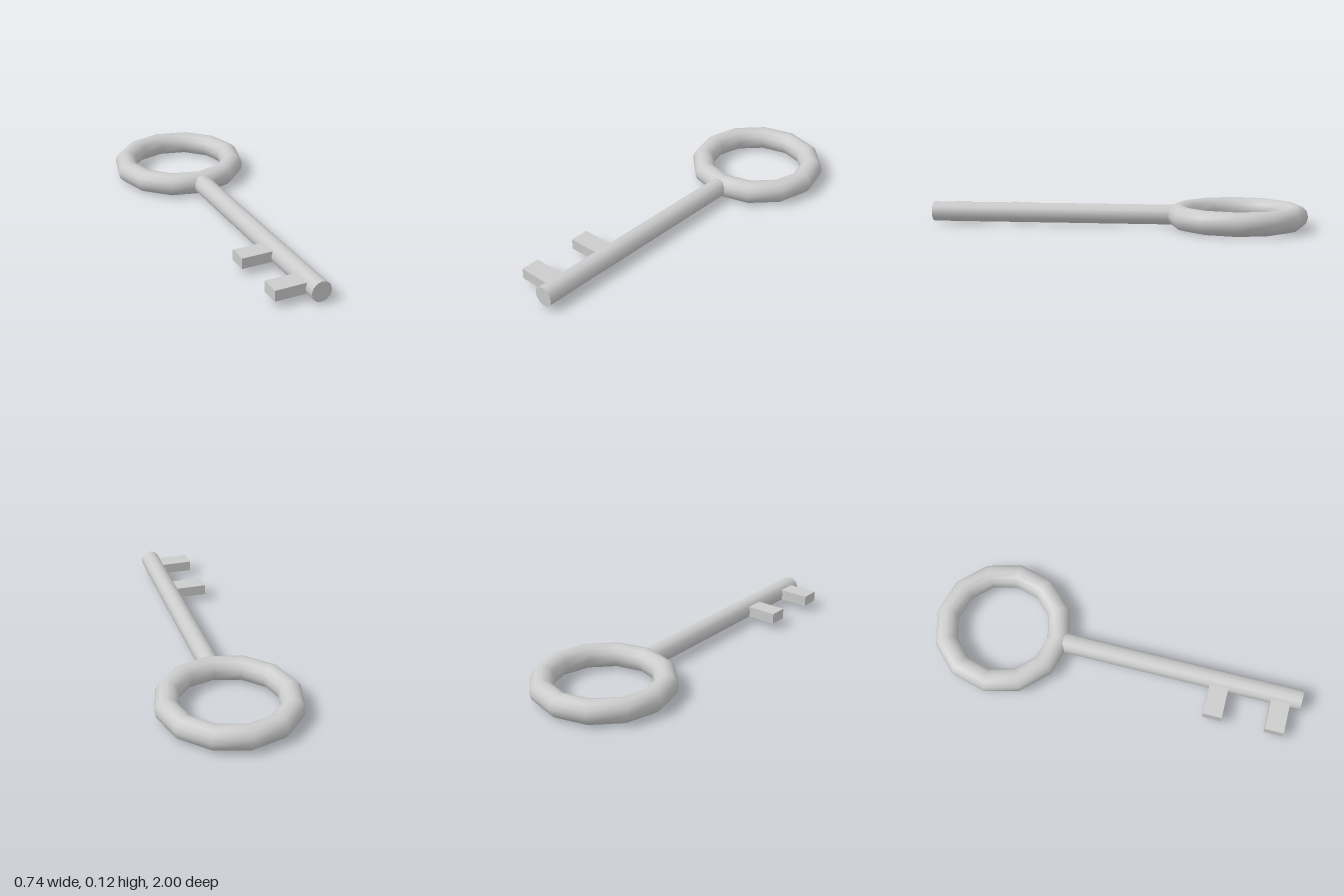
import * as THREE from 'three';

const material = new THREE.MeshStandardMaterial({ color: 0xcccccc });
const MID_Y = 0.0615; // height of the key's centre plane
const SHAFT_X = -0.002;

function addPart(group, name, geometry, x, y, z) {
  const mesh = new THREE.Mesh(geometry, material);
  mesh.name = name;
  mesh.position.set(x, y, z);
  group.add(mesh);
  return mesh;
}

export function createModel() {
  const key = new THREE.Group();
  key.name = 'key';

  // Ring handle lying flat at the back
  const ring = new THREE.TorusGeometry(0.309, 0.0615, 12, 12).rotateX(Math.PI / 2);
  addPart(key, 'ringHandle', ring, 0, MID_Y, -0.63);

  // Round shaft, its back end buried in the ring
  const back = -0.31, front = 1;
  const shaft = new THREE.CylinderGeometry(0.053, 0.053, front - back, 12).rotateX(Math.PI / 2);
  addPart(key, 'shaft', shaft, SHAFT_X, MID_Y + 0.001, (front + back) / 2);

  // Two rectangular teeth, rooted inside the shaft
  const outer = -0.212, inner = -0.01;
  for (const [name, z] of [['rearTooth', 0.565], ['frontTooth', 0.893]]) {
    const tooth = new THREE.BoxGeometry(inner - outer, 0.057, 0.1);
    addPart(key, name, tooth, (inner + outer) / 2, MID_Y + 0.001, z);
  }

  return key;
}
